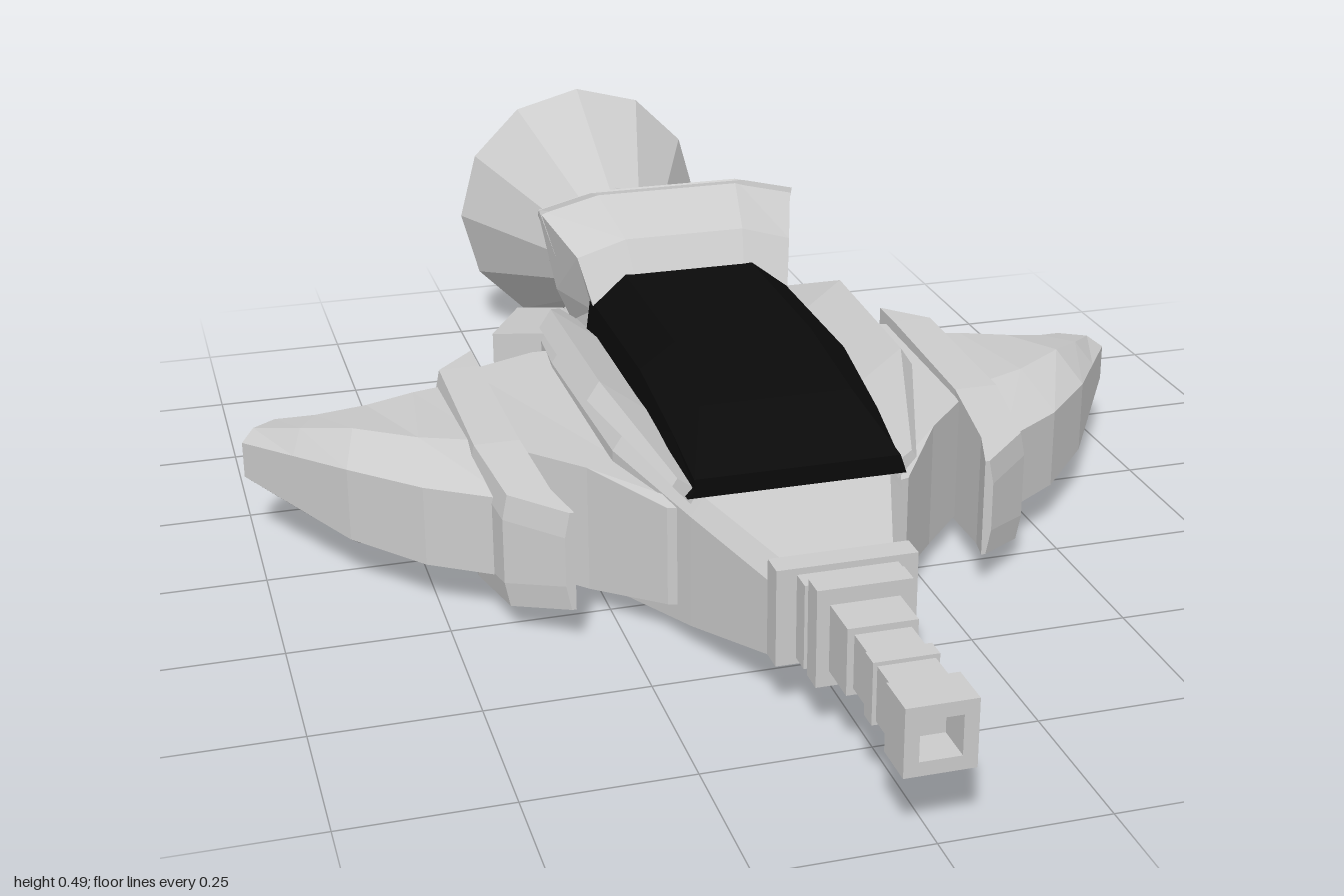
import * as THREE from 'three';

const grey = new THREE.MeshStandardMaterial({ color: 0xcccccc, flatShading: true });
const open = new THREE.MeshStandardMaterial({ color: 0xcccccc, flatShading: true, side: THREE.DoubleSide });
const glass = new THREE.MeshStandardMaterial({ color: 0x0a0a0a, flatShading: true });

// Closed solid through a row of matching rings of [x, y, z] corners
function loft(rings) {
  const n = rings[0].length, tris = [];
  for (let r = 0; r < rings.length - 1; r++) {
    for (let i = 0; i < n; i++) {
      const j = (i + 1) % n, a = rings[r], b = rings[r + 1];
      tris.push([a[i], a[j], b[j]], [a[i], b[j], b[i]]);
    }
  }
  const first = rings[0], last = rings[rings.length - 1];
  for (let i = 1; i < n - 1; i++) {
    tris.push([first[0], first[i + 1], first[i]], [last[0], last[i], last[i + 1]]);
  }
  // Turn every face outwards by the sign of the volume
  const v = (p) => new THREE.Vector3(...p);
  const volume = tris.reduce((s, [a, b, c]) => s + v(a).dot(v(b).cross(v(c))), 0);
  if (volume < 0) tris.forEach((t) => t.reverse());
  const geo = new THREE.BufferGeometry();
  geo.setAttribute('position', new THREE.Float32BufferAttribute(tris.flat(2), 3));
  geo.computeVertexNormals();
  return geo;
}

// Left-right symmetric ring from its right-hand [x, y] corners, bottom to top
const symmetric = (half, z) => [
  ...half.map(([x, y]) => [x, y, z]),
  ...[...half].reverse().map(([x, y]) => [-x, y, z]),
];

// Flat outline of [x, z] corners raised between two heights that may vary with z
const slab = (outline, low, high) => loft([
  outline.map(([x, z]) => [x, low(z), z]),
  outline.map(([x, z]) => [x, high(z), z]),
]);

export function createModel() {
  const model = new THREE.Group();
  const add = (name, geo, mat = grey, parent = model) => {
    const mesh = new THREE.Mesh(geo, mat);
    mesh.name = name;
    parent.add(mesh);
    return mesh;
  };

  // Hull: z, half width, bottom, top
  add('hull', loft([
    [0.6, 0.1, 0.08, 0.225], [0.41, 0.165, 0.04, 0.25], [0.2, 0.23, 0.005, 0.275],
    [-0.18, 0.24, 0, 0.275], [-0.31, 0.23, 0, 0.265], [-0.56, 0.15, 0.06, 0.2],
  ].map(([z, w, y0, y1]) => symmetric(
    [[w, y0], [w, y1 - 0.03], [w - 0.02, y1]], z))));

  // Canopy: z, half width, top half width, bottom, shoulder, top
  add('canopy', loft([
    [0.412, 0.17, 0.16, 0.25, 0.262, 0.28], [0.3, 0.175, 0.12, 0.25, 0.31, 0.347],
    [0.13, 0.18, 0.11, 0.25, 0.345, 0.385], [-0.2, 0.18, 0.11, 0.25, 0.345, 0.388],
  ].map(([z, w, t, y0, ys, y1]) => symmetric([[w, y0], [w * 0.93, ys], [t, y1]], z))), glass);

  // Hood behind the canopy
  add('hoodFront', loft([
    [-0.17, 0.17, 0.26, 0.37], [-0.21, 0.185, 0.26, 0.44], [-0.33, 0.225, 0.26, 0.49],
  ].map(([z, w, y0, y1]) => symmetric(
    [[0.17, y0], [w * 0.87, y0 + 0.06], [w, y1 - 0.025], [w * 0.55, y1]], z))));
  const hoodRing = (w, zTop, yTop, zLow, yLow) => [
    [w * 0.9, yLow, zLow], [w, yTop - 0.022, zTop], [w * 0.6, yTop, zTop],
    [-w * 0.6, yTop, zTop], [-w, yTop - 0.022, zTop], [-w * 0.9, yLow, zLow],
  ];
  add('hoodRear', loft([
    hoodRing(0.225, -0.32, 0.49, -0.3, 0.39), hoodRing(0.21, -0.4, 0.455, -0.38, 0.365),
    hoodRing(0.165, -0.545, 0.39, -0.53, 0.31),
  ]));

  // Engine: stepped neck, collars and hollow bell turned about the z axis
  const engine = new THREE.Group();
  engine.name = 'engine';
  engine.position.y = 0.245;
  engine.rotation.x = -Math.PI / 2;
  model.add(engine);
  const turned = (profile) =>
    new THREE.LatheGeometry(profile.map(([r, z]) => new THREE.Vector2(r, z)), 12);
  add('neck', turned([[0, 0.28], [0.105, 0.28], [0.105, 0.74]]), open, engine);
  for (const z of [0.56, 0.65]) {
    add('collar', turned([[0.1, z], [0.13, z], [0.13, z + 0.042], [0.1, z + 0.042]]), open, engine);
  }
  add('nozzle', turned([[0.105, 0.72], [0.24, 1], [0.225, 1], [0.07, 0.74], [0, 0.74]]), open, engine);

  // Nose gun: stepped mounts and a hollow square barrel
  const gun = new THREE.Group();
  gun.name = 'gun';
  gun.position.y = 0.157;
  model.add(gun);
  const block = (name, w, h, z0, z1) =>
    add(name, new THREE.BoxGeometry(w, h, z1 - z0).translate(0, 0, (z0 + z1) / 2), grey, gun);
  block('gunMount', 0.21, 0.15, 0.595, 0.635);
  block('gunMount', 0.15, 0.13, 0.635, 0.67);
  block('gunMount', 0.14, 0.15, 0.67, 0.708);
  const frame = (s, hole, z0, z1) => {
    const square = (T, h) => new T([[-h, -h], [h, -h], [h, h], [-h, h]]
      .map(([x, y]) => new THREE.Vector2(x, y)));
    const shape = square(THREE.Shape, s);
    shape.holes.push(square(THREE.Path, hole));
    add('barrel', new THREE.ExtrudeGeometry(shape, { depth: z1 - z0, bevelEnabled: false })
      .translate(0, 0, z0), grey, gun);
  };
  frame(0.051, 0.03, 0.7, 0.78);
  frame(0.041, 0.03, 0.78, 0.93);
  frame(0.051, 0.03, 0.93, 1);
  block('barrelRing', 0.094, 0.094, 0.84, 0.87);
  block('barrelCore', 0.062, 0.062, 0.7, 0.94);

  // Parts on each side, the right one mirrored from the left
  for (const side of [1, -1]) {
    const half = new THREE.Group();
    half.name = side > 0 ? 'leftSide' : 'rightSide';
    model.add(half);
    const addSide = (name, rings) => add(name, loft(
      rings.map((ring) => ring.map(([x, y, z]) => [x * side, y, z]))), grey, half);
    const addSlab = (name, outline, low, high) =>
      add(name, slab(outline.map(([x, z]) => [x * side, z]), low, high), grey, half);

    // Tilted rail beside the canopy
    addSide('canopyRail', [
      [0.4, -0.05, -0.05, 0.4], [0.18, -0.006, -0.006, 1], [-0.13, 0, 0, 1], [-0.3, -0.04, -0.045, 0.6],
    ].map(([z, dx, dy, s]) => [[0.2, 0.25], [0.27, 0.33], [0.25, 0.36], [0.17, 0.3]]
      .map(([x, y]) => [0.22 + (x - 0.22) * s + dx, 0.31 + (y - 0.31) * s + dy, z])));

    // Wing root between hull and band
    addSlab('wingRoot', [[0.14, 0.385], [0.19, 0.37], [0.28, 0.24], [0.38, 0.13], [0.38, -0.2], [0.26, -0.25], [0.14, -0.25]],
      (z) => (z > 0.3 ? 0.06 : 0.035), (z) => (z > 0.3 ? 0.22 : 0.24));

    // Raised band round the wing: z, inner x, outer x, bottom, top
    addSide('wingBand', [
      [0.347, 0.325, 0.34, 0.06, 0.22], [0.28, 0.345, 0.42, 0.045, 0.23], [0.13, 0.36, 0.44, 0.025, 0.25],
      [-0.17, 0.365, 0.44, 0.022, 0.258], [-0.24, 0.365, 0.375, 0.03, 0.258],
    ].map(([z, x0, x1, y0, y1]) => [
      [x0, y0, z], [x1 - 0.008, y0, z], [x1, y0 + 0.04, z], [x1, y1 - 0.04, z], [x1 - 0.008, y1, z], [x0, y1, z],
    ]));

    // Swept wing: leading x, z, trailing x, z, then half heights of edge, crest, tail
    addSide('wing', [
      [0.4, 0.25, 0.4, -0.17, 0.065, 0.1, 0.09], [0.52, 0.17, 0.48, -0.15, 0.065, 0.1, 0.09],
      [0.62, 0.06, 0.56, -0.13, 0.06, 0.1, 0.085], [0.69, -0.05, 0.64, -0.16, 0.045, 0.075, 0.065],
      [0.76, -0.16, 0.7, -0.22, 0.03, 0.045, 0.04],
    ].map(([xf, zf, xr, zr, e, c, t]) => {
      const m = (a, b) => a + (b - a) * 0.35;
      const top = [[xf, e, zf], [m(xf, xr), c, m(zf, zr)], [xr, t, zr]];
      return [...top.map(([x, h, z]) => [x, 0.142 + h, z]),
        ...[...top].reverse().map(([x, h, z]) => [x, 0.142 - h, z])];
    }));

    // Angled pod at the rear flank
    addSlab('rearPod', [[0.14, -0.52], [0.22, -0.562], [0.303, -0.37], [0.22, -0.33]],
      (z) => 0.035 - (z + 0.33) * 0.08, (z) => 0.24 + (z + 0.33) * 0.15);
  }
  return model;
}
